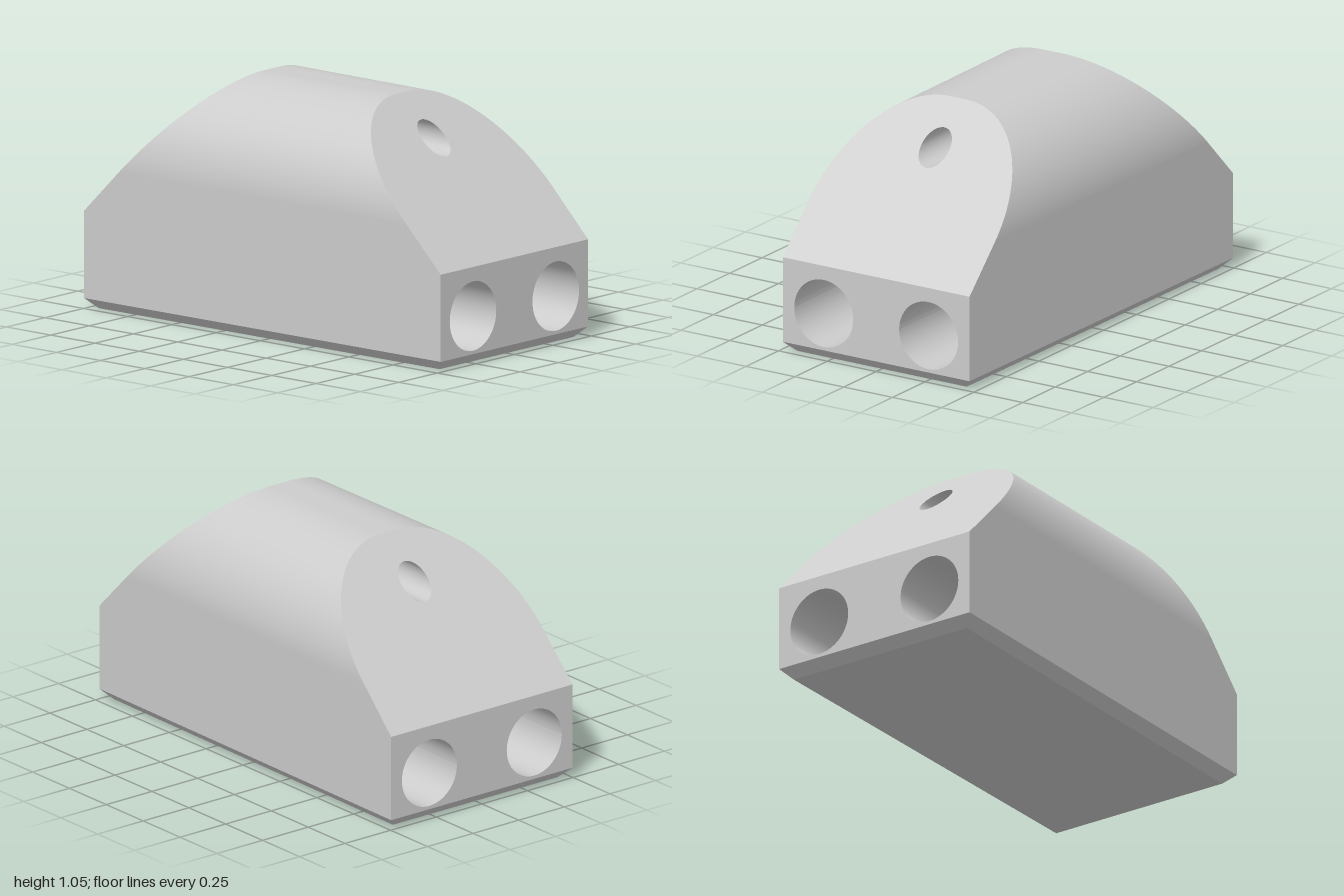
import * as THREE from 'three';

const TOP = 1.055, SHOULDER = 0.425, CHAMFER = 0.045;
const HALF_WIDTH = 0.4875, TAPER = 0.0095, ARCH_RADIUS = 0.44;
const PORT = { z: 0.278, y: 0.211, r: 0.151 };
const TOP_HOLE = { y: 0.88, r: 0.071 };

// Half length of the block at a given height: chamfer, upright end, 45 degree slope
function endX(y) {
  if (y < CHAMFER) return 1 - (CHAMFER - y);
  return y <= SHOULDER ? 1 : 1 + SHOULDER - y;
}

// The block narrows slightly towards +x
const taperZ = (z, x) => z - Math.sign(z) * TAPER * x;

// Ruled surface along x through a list of [z, y] section points
function ruledSkin(section, tapered = true) {
  const pos = [], index = [];
  section.forEach(([z, y], i) => {
    for (const s of [-1, 1]) {
      const x = s * endX(y);
      pos.push(x, y, tapered ? taperZ(z, x) : z);
    }
    if (i > 0) {
      const a = 2 * (i - 1);
      index.push(a, a + 1, a + 2, a + 1, a + 3, a + 2);
    }
  });
  const g = new THREE.BufferGeometry();
  g.setAttribute('position', new THREE.Float32BufferAttribute(pos, 3));
  g.setIndex(index);
  g.computeVertexNormals();
  return g;
}

// Straight bore facing inwards; its centre follows the taper
function boreSkin(cz, cy, r) {
  const pos = [], index = [], n = 64;
  for (let i = 0; i <= n; i++) {
    const a = -i / n * Math.PI * 2, y = cy + r * Math.sin(a);
    for (const s of [-1, 1]) {
      const x = s * endX(y);
      pos.push(x, y, taperZ(cz, x) + r * Math.cos(a));
    }
    if (i > 0) {
      const k = 2 * (i - 1);
      index.push(k, k + 1, k + 2, k + 1, k + 3, k + 2);
    }
  }
  const g = new THREE.BufferGeometry();
  g.setAttribute('position', new THREE.Float32BufferAttribute(pos, 3));
  g.setIndex(index);
  g.computeVertexNormals();
  return g;
}

// End face on side s from a [z, y] outline, with round holes [z, y, r]
function endFace(outline, holes, s) {
  const shape = new THREE.Shape(outline.map(([z, y]) =>
    new THREE.Vector2(taperZ(z, s * endX(y)), y)));
  for (const [z, y, r] of holes) {
    const hole = new THREE.Path();
    hole.absarc(taperZ(z, s), y, r, 0, Math.PI * 2, true);
    shape.holes.push(hole);
  }
  const g = new THREE.ShapeGeometry(shape, 32);
  const p = g.attributes.position;
  for (let i = 0; i < p.count; i++) {
    const u = p.getX(i), y = p.getY(i);
    p.setXYZ(i, s * endX(y), y, -s * u);
  }
  g.computeVertexNormals();
  return g;
}

export function createModel() {
  const group = new THREE.Group();
  group.name = 'drilledBlock';
  const grey = new THREE.MeshStandardMaterial({ color: 0xcccccc });
  grey.name = 'light grey';
  const add = (name, geometry) => {
    const mesh = new THREE.Mesh(geometry, grey);
    mesh.name = name;
    group.add(mesh);
  };

  // Arch section from the +z side over the top to the -z side
  const flat = HALF_WIDTH - ARCH_RADIUS, spring = TOP - ARCH_RADIUS, steps = 36;
  const arch = [];
  for (const side of [1, -1]) {
    for (let i = 0; i <= steps; i++) {
      const a = (side > 0 ? i : steps - i) / steps * Math.PI / 2;
      arch.push([side * (flat + ARCH_RADIUS * Math.cos(a)), spring + ARCH_RADIUS * Math.sin(a)]);
    }
  }
  const W = HALF_WIDTH, B = HALF_WIDTH - CHAMFER;
  const slopeOutline = [[W, SHOULDER], ...arch, [-W, SHOULDER]];

  // Outer skin and underside
  add('archedBody', ruledSkin([[W, CHAMFER], ...slopeOutline, [-W, CHAMFER]]));
  add('frontChamfer', ruledSkin([[B, 0], [W, CHAMFER]]));
  add('backChamfer', ruledSkin([[-W, CHAMFER], [-B, 0]]));
  add('underside', ruledSkin([[-B, 0], [B, 0]]));

  // Both ends
  for (const s of [1, -1]) {
    const side = s > 0 ? 'left' : 'right';
    add(side + 'Slope', endFace(slopeOutline, [[0, TOP_HOLE.y, TOP_HOLE.r]], s));
    add(side + 'EndFace', endFace(
      [[W, CHAMFER], [W, SHOULDER], [-W, SHOULDER], [-W, CHAMFER]],
      [[PORT.z, PORT.y, PORT.r], [-PORT.z, PORT.y, PORT.r]], s));
    add(side + 'EndChamfer', endFace([[B, 0], [W, CHAMFER], [-W, CHAMFER], [-B, 0]], [], s));
  }

  // Through bores
  add('frontBore', boreSkin(PORT.z, PORT.y, PORT.r));
  add('backBore', boreSkin(-PORT.z, PORT.y, PORT.r));
  add('topBore', boreSkin(0, TOP_HOLE.y, TOP_HOLE.r));
  return group;
}
